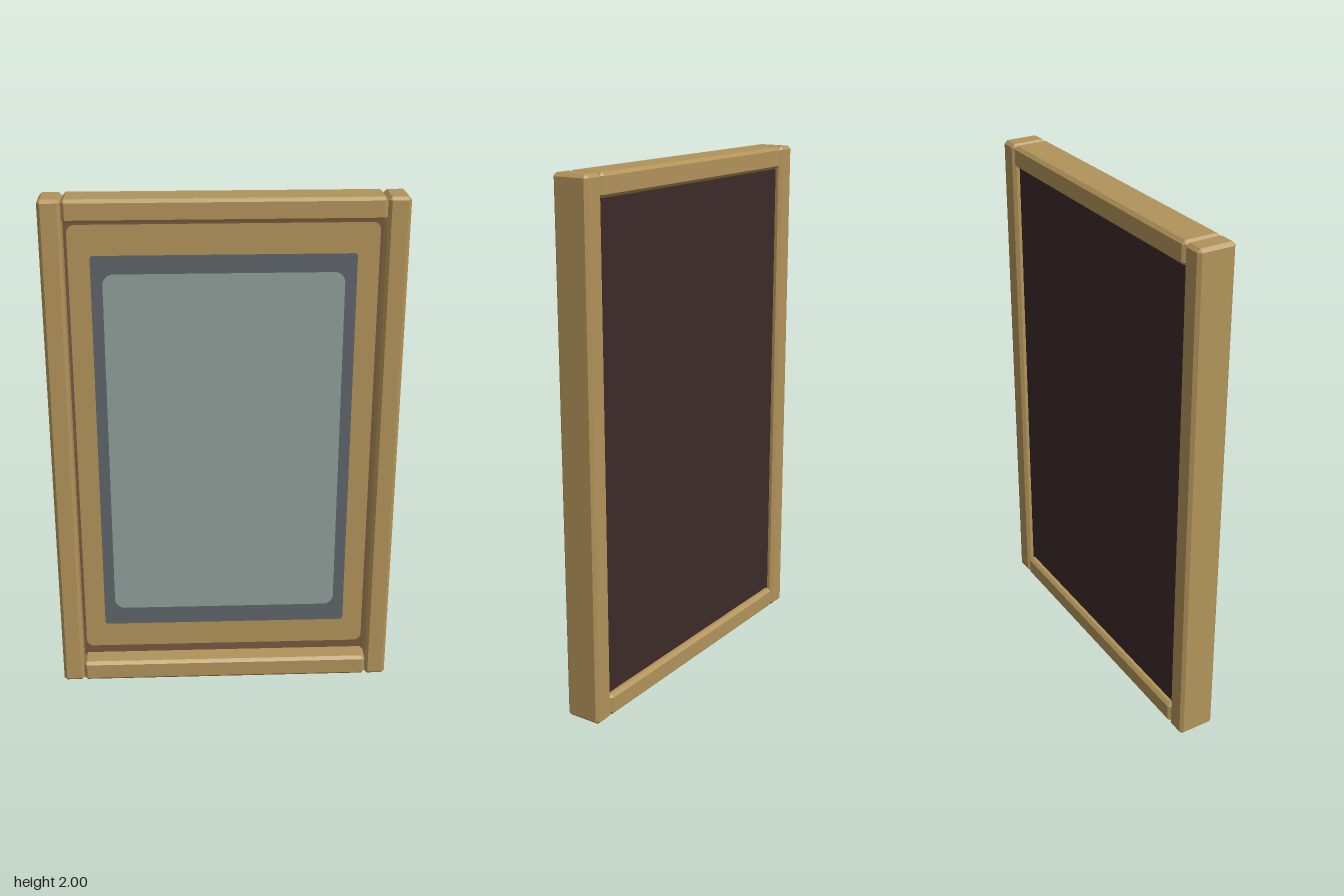
import * as THREE from 'three';
import { ConvexGeometry } from 'three/addons/geometries/ConvexGeometry.js';

// Box whose twelve edges are cut by a flat chamfer c
function chamferedBox(w, h, d, c) {
  const half = [w / 2, h / 2, d / 2];
  const points = [];
  for (const sx of [-1, 1]) for (const sy of [-1, 1]) for (const sz of [-1, 1]) {
    for (let full = 0; full < 3; full++) {
      const p = half.map((v, i) => (i === full ? v : v - c));
      points.push(new THREE.Vector3(p[0] * sx, p[1] * sy, p[2] * sz));
    }
  }
  return new ConvexGeometry(points);
}

// Flat upright face with rounded corners
function roundedFace(halfW, y0, y1, r) {
  const s = new THREE.Shape();
  s.absarc(halfW - r, y1 - r, r, 0, Math.PI / 2);
  s.absarc(-halfW + r, y1 - r, r, Math.PI / 2, Math.PI);
  s.absarc(-halfW + r, y0 + r, r, Math.PI, Math.PI * 1.5);
  s.absarc(halfW - r, y0 + r, r, Math.PI * 1.5, Math.PI * 2);
  return new THREE.ShapeGeometry(s, 6);
}

export function createModel() {
  const group = new THREE.Group();
  const material = (name, color) => {
    const m = new THREE.MeshStandardMaterial({ color });
    m.name = name;
    return m;
  };
  const wood = material('frameWood', 0xb2945a);
  const brown = material('panelBrown', 0x785940);
  const dark = material('backingDark', 0x3d2a2a);
  const slate = material('slateBorder', 0x5e656a);
  const glass = material('greyGlass', 0x8f9f99);

  const add = (name, geometry, mat, x, y, z) => {
    const mesh = new THREE.Mesh(geometry, mat);
    mesh.name = name;
    mesh.position.set(x, y, z);
    group.add(mesh);
  };

  // Frame: two full-height posts with two rails between them
  const depth = 0.146, chamfer = 0.012;
  const post = chamferedBox(0.083, 2, depth, chamfer);
  const rail = chamferedBox(1.16, 0.085, depth, chamfer);
  add('leftPost', post, wood, 0.6225, 1, 0);
  add('rightPost', post, wood, -0.6225, 1, 0);
  add('topRail', rail, wood, 0, 1.9575, 0);
  add('bottomRail', rail, wood, 0, 0.0425, 0);

  // Inner panel: brown in front, dark at the back (box groups: +x -x +y -y +z -z)
  const front = -0.009, back = -0.048;
  add('panel', new THREE.BoxGeometry(1.17, 1.85, front - back),
    [brown, brown, brown, brown, brown, dark], 0, 1, (front + back) / 2);

  // Nearly flush layers on the front of the panel
  add('woodMat', roundedFace(0.57, 0.118, 1.892, 0.03), wood, 0, 0, front + 0.001);
  add('slateBorder', roundedFace(0.49, 0.222, 1.777, 0.012), slate, 0, 0, front + 0.002);
  add('glassPane', roundedFace(0.447, 0.297, 1.707, 0.04), glass, 0, 0, front + 0.003);

  return group;
}
